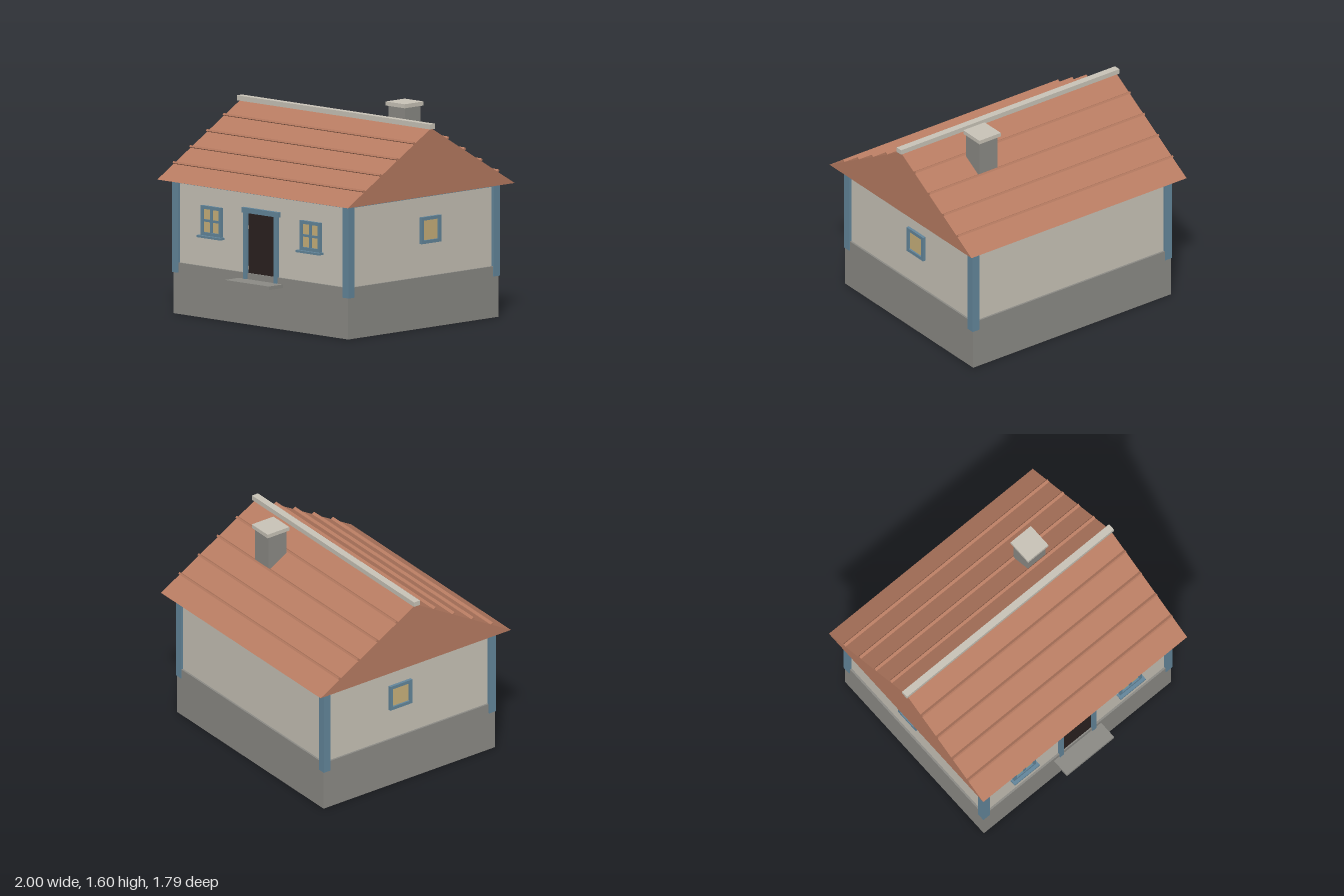
import * as THREE from 'three';

const CZ = -0.025; // depth centre of the house

function mat(name, color) {
  const m = new THREE.MeshStandardMaterial({ color });
  m.name = name;
  return m;
}

export function createModel() {
  const house = new THREE.Group();
  house.name = 'house';

  const plaster = mat('plaster', 0xc9c4b8);
  const stone = mat('stone', 0x8c8b86);
  const tile = mat('roofTile', 0xb87c62);
  const trim = mat('blueTrim', 0x64879c);
  const glass = mat('warmGlass', 0xcab27c);
  const dark = mat('darkDoor', 0x2b2120);

  // Box given by its min and max on each axis
  function box(name, m, [x0, x1], [y0, y1], [z0, z1], parent = house) {
    const mesh = new THREE.Mesh(new THREE.BoxGeometry(x1 - x0, y1 - y0, z1 - z0), m);
    mesh.position.set((x0 + x1) / 2, (y0 + y1) / 2, (z0 + z1) / 2);
    mesh.name = name;
    parent.add(mesh);
    return mesh;
  }

  // Foundation, walls and the trim beam under the eaves
  box('foundation', stone, [-0.905, 0.905], [0, 0.38], [CZ - 0.78, CZ + 0.78]);
  box('walls', plaster, [-0.89, 0.89], [0.38, 0.985], [CZ - 0.765, CZ + 0.765]);
  for (const s of [-1, 1]) {
    const z = CZ + s * 0.77, x = s * 0.895;
    box('eaveBeam', trim, [-0.9, 0.9], [0.97, 0.99], [z - 0.01, z + 0.01]);
    box('gableBeam', trim, [x - 0.01, x + 0.01], [0.97, 0.99], [CZ - 0.77, CZ + 0.77]);
  }

  // Corner posts
  for (const sx of [-1, 1]) for (const sz of [-1, 1]) {
    const x = sx * 0.882, z = CZ + sz * 0.753;
    box('cornerPost', trim, [x - 0.031, x + 0.031], [0.305, 0.988], [z - 0.031, z + 0.031]);
  }

  // Solid gable roof
  const gable = new THREE.Shape();
  gable.moveTo(-0.866, 0.99);
  gable.lineTo(0.866, 0.99);
  gable.lineTo(0, 1.49);
  gable.closePath();
  const roofGeo = new THREE.ExtrudeGeometry(gable, { depth: 1.97, bevelEnabled: false });
  roofGeo.translate(0, 0, -0.985);
  roofGeo.rotateY(Math.PI / 2);
  const roof = new THREE.Mesh(roofGeo, tile);
  roof.position.z = CZ;
  roof.name = 'roof';
  house.add(roof);

  // Raised tile battens on both slopes
  for (const s of [-1, 1]) for (let k = 1; k <= 4; k++) {
    const batten = new THREE.Mesh(new THREE.BoxGeometry(1.97, 0.015, 0.026), tile);
    batten.position.set(0, 1.496 - 0.1 * k, CZ + s * 0.1732 * k);
    batten.rotation.x = -s * Math.PI / 6;
    batten.name = 'roofBatten';
    house.add(batten);
  }
  box('ridgeCap', plaster, [-1, 1], [1.485, 1.522], [CZ - 0.027, CZ + 0.027]);

  // Chimney
  box('chimneyStack', stone, [0.357, 0.525], [1.2, 1.572], [-0.375, -0.212]);
  box('chimneyCap', plaster, [0.343, 0.539], [1.57, 1.6], [-0.394, -0.197]);

  // Door with frame, hinges and step
  const door = new THREE.Group();
  door.name = 'frontDoor';
  house.add(door);
  box('doorPanel', dark, [-0.135, 0.14], [0.38, 0.828], [0.737, 0.745], door);
  for (const s of [-1, 1]) {
    const x = s * 0.157;
    box('doorJamb', trim, [x - 0.018, x + 0.018], [0.335, 0.828], [0.735, 0.764], door);
  }
  box('doorLintel', trim, [-0.19, 0.19], [0.826, 0.864], [0.735, 0.766], door);
  for (const y of [0.42, 0.72]) box('hinge', stone, [-0.139, -0.129], [y - 0.013, y + 0.013], [0.742, 0.75], door);
  box('doorStep', stone, [-0.228, 0.228], [0.308, 0.335], [0.75, 0.9], door);

  // Window facing +z around the origin: four frame bars, a pane, optional cross bars and sill
  function makeWindow(name, w, h, t, detailed) {
    const g = new THREE.Group();
    g.name = name;
    box('pane', glass, [-w + t, w - t], [-h + t, h - t], [0, 0.008], g);
    for (const s of [-1, 1]) {
      const x = s * (w - t / 2), y = s * (h - t / 2);
      box('frameSide', trim, [x - t / 2, x + t / 2], [-h, h], [-0.005, 0.022], g);
      box('frameRail', trim, [-w + t, w - t], [y - t / 2, y + t / 2], [-0.005, 0.022], g);
    }
    if (detailed) {
      box('verticalBar', trim, [-0.011, 0.011], [-h + t, h - t], [0, 0.017], g);
      box('crossBar', trim, [-w + t, w - t], [-0.009, 0.009], [0, 0.016], g);
      box('sill', trim, [-w - 0.016, w + 0.016], [-h - 0.016, -h], [-0.005, 0.047], g);
    }
    house.add(g);
    return g;
  }
  for (const s of [-1, 1]) {
    makeWindow('frontWindow', 0.105, 0.11, 0.024, true).position.set(s * 0.512, 0.722, 0.74);
    const side = makeWindow('sideWindow', 0.101, 0.099, 0.025, false);
    side.position.set(s * 0.89, 0.723, -0.102);
    side.rotation.y = s * Math.PI / 2;
  }

  return house;
}
